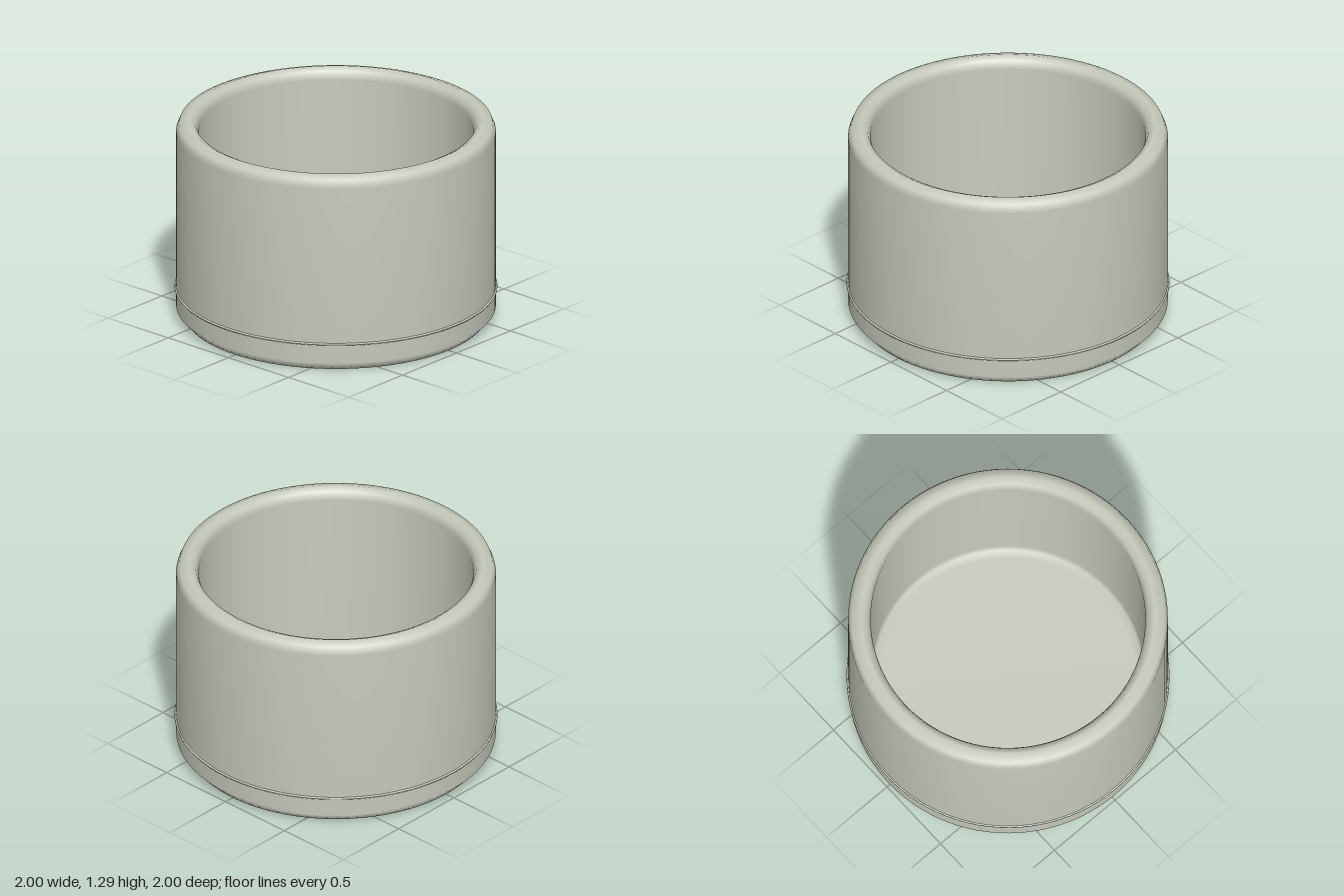
import * as THREE from 'three';

const SEGMENTS = 96;

// Revolve a list of [radius, height] pairs around the y axis
function revolve(name, profile, material) {
  const points = profile.map(([r, y]) => new THREE.Vector2(r, y));
  const mesh = new THREE.Mesh(new THREE.LatheGeometry(points, SEGMENTS), material);
  mesh.name = name;
  return mesh;
}

export function createModel() {
  const group = new THREE.Group();
  group.name = 'cup';
  const material = new THREE.MeshStandardMaterial({ color: 0xc6cabc });

  // Hollow cup: underside, outer wall, rounded rim, inner wall, floor
  group.add(revolve('cupBody', [
    [0, 0], [0.935, 0], [0.99, 0.06],
    [0.99, 1.22], [0.97, 1.27], [0.91, 1.29],
    [0.87, 1.27], [0.85, 1.22],
    [0.85, 0.21], [0.835, 0.17], [0.79, 0.155], [0, 0.155],
  ], material));

  // Thin raised band around the lower wall
  group.add(revolve('band', [
    [0.98, 0.177], [0.997, 0.179], [1, 0.185], [0.997, 0.191], [0.98, 0.193],
  ], material));

  return group;
}
